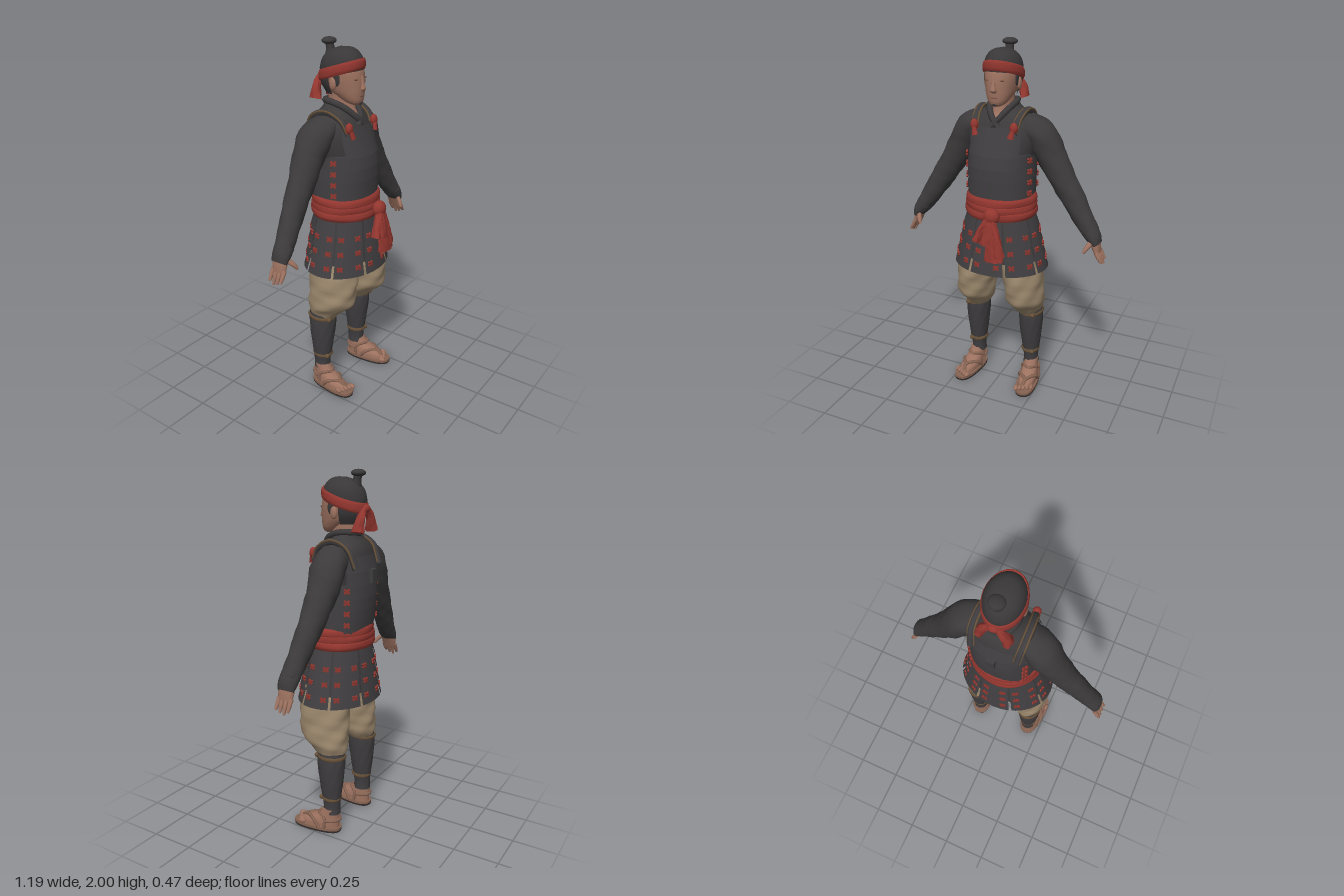
import * as THREE from 'three';
import { toCreasedNormals } from 'three/addons/utils/BufferGeometryUtils.js';

const mat = (name, color, double) => {
  const m = new THREE.MeshStandardMaterial({ color });
  m.name = name;
  if (double) m.side = THREE.DoubleSide;
  return m;
};

// Ovals swept through rows of [x, y, z, half width, half depth].
// arc = part of the oval, power = squareness, fold = cloth ripples, tilt = lift towards the front.
function sweep(rows, { steps = 4, n = 28, arc, power = 2, fold = 0, waves = 5, tilt = 0 } = {}) {
  if (rows.length === 2) rows = [rows[0], rows[0].map((v, i) => (v + rows[1][i]) / 2), rows[1]];
  const path = new THREE.CatmullRomCurve3(rows.map(r => new THREE.Vector3(r[0], r[1], r[2])), false, 'catmullrom');
  const size = new THREE.CatmullRomCurve3(rows.map(r => new THREE.Vector3(r[3], r[4], 0)), false, 'catmullrom');
  const m = (rows.length - 1) * steps, cols = arc ? n + 1 : n;
  const [t0, t1] = arc || [0, Math.PI * 2];
  const pos = [], idx = [], Z = new THREE.Vector3(0, 0, 1);
  const bend = (c) => Math.sign(c) * Math.pow(Math.abs(c), 2 / power);
  for (let i = 0; i <= m; i++) {
    const p = path.getPoint(i / m), s = size.getPoint(i / m);
    const u = path.getTangent(i / m).cross(Z).normalize();
    for (let j = 0; j < cols; j++) {
      const t = t0 + (t1 - t0) * j / n;
      const k = 1 + fold * Math.sin(waves * t + p.y * 45) + fold * 0.6 * Math.sin(2 * t - p.y * 90);
      const a = bend(Math.cos(t)) * s.x * k, b = bend(Math.sin(t)) * s.y * k;
      pos.push(p.x + u.x * a, p.y + u.y * a + tilt * b, p.z + b);
    }
  }
  for (let i = 0; i < m; i++) for (let j = 0; j < n; j++) {
    const a = i * cols + j, b = i * cols + (j + 1) % cols, c = a + cols, d = b + cols;
    idx.push(a, c, b, b, c, d);
  }
  if (!arc) for (const [ring, at] of [[0, 0], [m, 1]]) {
    const c = pos.length / 3, p = path.getPoint(at);
    pos.push(p.x, p.y, p.z);
    for (let j = 0; j < n; j++) {
      const a = ring * cols + j, b = ring * cols + (j + 1) % n;
      idx.push(...(at ? [c, b, a] : [c, a, b]));
    }
  }
  const g = new THREE.BufferGeometry();
  g.setAttribute('position', new THREE.Float32BufferAttribute(pos, 3));
  g.setIndex(idx);
  return toCreasedNormals(g, 0.8);
}

export function createModel() {
  const model = new THREE.Group();
  const armour = mat('charcoal armour', 0x3f3d3f, true), cloth = mat('dark cloth', 0x3c3a3b, true);
  const hair = mat('hair', 0x393738, true), red = mat('red cloth', 0x93362f, true);
  const skin = mat('skin', 0x9c715f), shade = mat('dark skin', 0x7a5547), tan = mat('trouser cloth', 0x9c886d);
  const cord = mat('brown cord', 0x665038), straw = mat('sandal straw', 0x866352), sole = mat('dark sole', 0x2f2b2a);

  const add = (name, geo, m, parent = model) => {
    const o = new THREE.Mesh(geo, m);
    o.name = name;
    parent.add(o);
    return o;
  };
  const ball = (name, m, p, r, parent) => {
    const o = add(name, new THREE.SphereGeometry(1, 16, 12), m, parent);
    o.position.set(...p);
    o.scale.set(...r);
    return o;
  };
  const tube = (name, pts, r, m, parent) => add(name, new THREE.TubeGeometry(
    new THREE.CatmullRomCurve3(pts.map(p => new THREE.Vector3(...p))), 20, r, 7), m, parent);

  // Crossed lacing stitch facing outwards at a yaw angle
  const stitch = new THREE.BoxGeometry(0.036, 0.011, 0.009);
  const lace = (x, y, z, yaw, parent) => {
    const g = new THREE.Group();
    g.name = 'lacing';
    g.position.set(x, y, z);
    g.rotation.y = yaw;
    for (const s of [-1, 1]) add('stitch', stitch, red, g).rotation.z = s * 0.7;
    parent.add(g);
  };

  // Head, neck and face
  add('neck', sweep([[0, 1.55, -0.03, 0.06, 0.085], [0, 1.6, -0.022, 0.055, 0.088], [0, 1.65, -0.045, 0.055, 0.078],
    [0, 1.74, -0.05, 0.055, 0.07]]), skin);
  add('head', sweep([[0, 1.675, 0.045, 0.022, 0.02], [0, 1.69, 0.03, 0.045, 0.048], [0, 1.72, 0.005, 0.064, 0.078],
    [0, 1.76, -0.03, 0.08, 0.115], [0, 1.82, -0.04, 0.091, 0.121], [0, 1.865, -0.045, 0.088, 0.112], [0, 1.9, -0.04, 0.05, 0.06]],
  { power: 2.15 }), skin);
  add('nose', sweep([[0, 1.825, 0.076, 0.008, 0.008], [0, 1.78, 0.085, 0.011, 0.012], [0, 1.76, 0.088, 0.018, 0.014],
    [0, 1.748, 0.082, 0.014, 0.01]], { n: 12 }), skin);
  add('mouth', new THREE.BoxGeometry(0.036, 0.006, 0.009), shade).position.set(0, 1.722, 0.08);
  ball('beard', hair, [0, 1.686, 0.07], [0.013, 0.01, 0.01]);
  for (const s of [-1, 1]) {
    ball('ear', skin, [s * 0.093, 1.785, -0.035], [0.012, 0.032, 0.02]);
    ball('eye', shade, [s * 0.036, 1.81, 0.07], [0.019, 0.005, 0.006]);
    ball('sideburn', hair, [s * 0.088, 1.81, -0.015], [0.007, 0.035, 0.02]);
  }

  // Hair, topknot and headband
  add('hairCap', sweep([[0, 1.83, -0.045, 0.098, 0.123], [0, 1.88, -0.046, 0.097, 0.118], [0, 1.92, -0.05, 0.082, 0.098],
    [0, 1.947, -0.052, 0.052, 0.062], [0, 1.959, -0.055, 0.006, 0.006]], { tilt: 0.18 }), hair);
  add('napeHair', sweep([[0, 1.725, -0.045, 0.068, 0.09], [0, 1.78, -0.045, 0.092, 0.119], [0, 1.85, -0.045, 0.097, 0.122]],
    { arc: [Math.PI * 1.04, Math.PI * 1.96] }), hair);
  add('topknotStem', sweep([[0, 1.91, -0.11, 0.034, 0.03], [0, 1.95, -0.118, 0.022, 0.022], [0, 1.985, -0.125, 0.024, 0.025]], { n: 14 }), hair);
  ball('topknot', hair, [0, 1.981, -0.125], [0.041, 0.019, 0.038]);
  add('headband', sweep([[0, 1.818, -0.045, 0.1, 0.124], [0, 1.83, -0.045, 0.105, 0.129], [0, 1.86, -0.045, 0.104, 0.128],
    [0, 1.873, -0.045, 0.098, 0.122]], { tilt: 0.32 }), red);
  ball('headbandKnot', red, [0, 1.805, -0.172], [0.028, 0.022, 0.02]);
  for (const s of [-1, 1]) add('headbandTail', sweep([[s * 0.015, 1.805, -0.17, 0.014, 0.014], [s * 0.05, 1.76, -0.17, 0.022, 0.022],
    [s * 0.072, 1.69, -0.163, 0.024, 0.035]], { n: 14, fold: 0.1 }), red);

  // Undershirt with crossed collar
  add('shirt', sweep([[0, 1.38, -0.035, 0.17, 0.155], [0, 1.5, -0.05, 0.2, 0.145], [0, 1.57, -0.055, 0.19, 0.13],
    [0, 1.62, -0.06, 0.145, 0.108], [0, 1.655, -0.065, 0.095, 0.08], [0, 1.685, -0.07, 0.066, 0.068]]), cloth);
  for (const s of [-1, 1]) tube('collar', [[-s * 0.02, 1.57, 0.075], [s * 0.02, 1.615, 0.058], [s * 0.058, 1.665, 0.005],
    [s * 0.068, 1.685, -0.06], [s * 0.045, 1.685, -0.12], [0, 1.68, -0.14]], 0.017, cloth);

  // Cuirass: overlapping lames, full rings below, front and back plates above
  const lames = [[1.16, 0.18, 0.16, -0.025], [1.23, 0.18, 0.167, -0.028], [1.3, 0.18, 0.174, -0.03], [1.365, 0.178, 0.177, -0.033],
    [1.43, 0.178, 0.172, -0.038], [1.5, 0.18, 0.156, -0.047], [1.57, 0.175, 0.135, -0.05]];
  lames.slice(0, -1).forEach(([y, a, b, z], i) => {
    const [y2, a2, b2, z2] = lames[i + 1];
    const rows = [[0, y - 0.008, z, a + 0.006, b + 0.006], [0, y2, z2, a2, b2]];
    const arcs = i < 4 ? [null] : [[Math.PI * 0.23, Math.PI * 0.77], [Math.PI * 1.2, Math.PI * 1.8]];
    for (const arc of arcs) add('cuirassLame', sweep(rows, { arc, steps: 2, power: 2.3 }), armour);
  });
  add('backBracket', new THREE.BoxGeometry(0.045, 0.07, 0.035), armour).position.set(0, 1.465, -0.212);
  for (const s of [-1, 1]) {
    for (const y of [1.22, 1.28, 1.34, 1.4]) {
      lace(s * 0.184, y, 0.03, s * 1.2, model);
      lace(s * 0.155, y, -0.152, s * 2.25, model);
    }
    // Dark shoulder straps edged with cord, tied in red at the chest
    const strap = (dx, lift) => [[0.11, 1.54, 0.075], [0.12, 1.605, 0.04], [0.13, 1.645, -0.05], [0.13, 1.61, -0.14],
      [0.12, 1.51, -0.185]].map(([x, y, z]) => [s * (x + dx), y + lift, z]);
    tube('shoulderStrap', strap(0, 0), 0.018, armour);
    for (const dx of [-0.015, 0.015]) tube('strapEdge', strap(dx, 0.008), 0.006, cord);
    ball('strapKnot', red, [s * 0.112, 1.575, 0.08], [0.022, 0.03, 0.02]);
    add('strapTassel', sweep([[s * 0.112, 1.57, 0.088, 0.01, 0.01], [s * 0.1, 1.525, 0.1, 0.018, 0.01]], { n: 10 }), red);
  }

  // Sash with knot and hanging ends
  for (const [y, r] of [[1.1, 0.006], [1.135, 0.003], [1.168, 0]]) add('sash', sweep([[0, y - 0.026, -0.02, 0.19 + r, 0.173 + r],
    [0, y - 0.012, -0.02, 0.197 + r, 0.18 + r], [0, y + 0.012, -0.02, 0.196 + r, 0.179 + r], [0, y + 0.026, -0.02, 0.187 + r, 0.17 + r]],
  { fold: 0.008, n: 40 }), red);
  ball('sashKnot', red, [0.03, 1.115, 0.178], [0.045, 0.045, 0.036]);
  const ends = [[0.055, 0.87, 0.055], [0.015, 0.96, 0.04], [-0.045, 0.975, 0.024], [0.085, 0.9, 0.03]];
  for (const [x, y, w] of ends) add('sashEnd', sweep([[0.03, 1.12, 0.185, 0.02, 0.02], [x * 0.6 + 0.012, (y + 1.13) / 2, 0.2, w * 0.7, 0.022],
    [x, y, 0.208, w, 0.026]], { fold: 0.1, waves: 7 }), red);

  // Skirt of hanging armour panels, four tiers each, laced in two columns
  add('skirtLining', sweep([[0, 0.83, -0.018, 0.237, 0.185], [0, 1.1, -0.02, 0.178, 0.155]], { arc: [0, Math.PI * 2], n: 40 }), cloth);
  const radius = (y, grow) => [0.186 + 0.24 * (1.1 - y) + grow, 0.166 + 0.135 * (1.1 - y) + grow];
  for (let p = 0; p < 8; p++) {
    const mid = Math.PI * (0.5 + p / 4), half = Math.PI / 8 - 0.03;
    const panel = new THREE.Group();
    panel.name = 'skirtPanel';
    model.add(panel);
    for (let k = 0; k < 4; k++) {
      const top = 1.095 - 0.08 * k, low = top - 0.085;
      add('skirtTier', sweep([[0, low, -0.018, ...radius(low, 0.008)], [0, top, -0.018, ...radius(top, -0.002)]],
        { arc: [mid - half, mid + half], n: 8, steps: 1 }), armour, panel);
      if (k) for (const s of [-0.62, 0.62]) {
        const t = mid + half * s, y = top - 0.035, [a, b] = radius(y, 0.005);
        lace(a * Math.cos(t), y, -0.018 + b * Math.sin(t), Math.atan2(Math.cos(t) / a, Math.sin(t) / b), panel);
      }
    }
  }

  for (const s of [-1, 1]) {
    // Arm with sleeve, hand guard, fingers and thumb
    const arm = new THREE.Group();
    arm.name = s > 0 ? 'leftArm' : 'rightArm';
    model.add(arm);
    add('sleeve', sweep([[s * 0.12, 1.58, -0.06, 0.06, 0.08], [s * 0.2, 1.525, -0.07, 0.08, 0.095], [s * 0.26, 1.42, -0.075, 0.08, 0.083],
      [s * 0.33, 1.3, -0.068, 0.071, 0.069], [s * 0.39, 1.21, -0.062, 0.066, 0.061], [s * 0.45, 1.115, -0.052, 0.057, 0.055],
      [s * 0.515, 1.02, -0.042, 0.046, 0.052]], { fold: 0.028 }), cloth, arm);
    add('handGuard', sweep([[s * 0.5, 1.04, -0.042, 0.046, 0.054], [s * 0.53, 1.0, -0.04, 0.04, 0.053], [s * 0.55, 0.965, -0.04, 0.025, 0.047]]), cloth, arm);
    add('palm', sweep([[s * 0.53, 0.995, -0.04, 0.03, 0.043], [s * 0.545, 0.955, -0.04, 0.024, 0.045], [s * 0.557, 0.915, -0.04, 0.016, 0.041]]), skin, arm);
    [0.872, 0.86, 0.852, 0.868].forEach((tip, i) => {
      const z = -0.004 - i * 0.024;
      add('finger', sweep([[s * 0.553, 0.93, z, 0.012, 0.012], [s * 0.573, 0.895, z, 0.011, 0.011], [s * 0.588, tip, z, 0.006, 0.007]], { n: 10 }), skin, arm);
    });
    add('thumb', sweep([[s * 0.53, 0.985, -0.01, 0.016, 0.016], [s * 0.51, 0.955, 0.02, 0.013, 0.014], [s * 0.498, 0.93, 0.034, 0.007, 0.008]], { n: 10 }), skin, arm);

    // Baggy trouser leg, shin guard and ties
    const leg = new THREE.Group();
    leg.name = s > 0 ? 'leftLeg' : 'rightLeg';
    model.add(leg);
    add('trouserLeg', sweep([[s * 0.168, 0.465, -0.06, 0.06, 0.076], [s * 0.16, 0.515, -0.045, 0.09, 0.105], [s * 0.155, 0.57, -0.015, 0.104, 0.138],
      [s * 0.148, 0.64, -0.008, 0.105, 0.145], [s * 0.14, 0.72, -0.005, 0.109, 0.148], [s * 0.115, 0.84, -0.014, 0.108, 0.145], [s * 0.09, 1.0, -0.02, 0.09, 0.13]],
    { fold: 0.025, n: 36 }), tan, leg);
    add('shinGuard', sweep([[s * 0.174, 0.11, -0.07, 0.044, 0.05], [s * 0.173, 0.17, -0.07, 0.043, 0.05], [s * 0.172, 0.3, -0.067, 0.06, 0.068],
      [s * 0.17, 0.42, -0.065, 0.069, 0.081], [s * 0.167, 0.49, -0.063, 0.066, 0.08]], { fold: 0.012, waves: 9, n: 36 }), armour, leg);
    for (const [y, a, b] of [[0.465, 0.068, 0.082], [0.205, 0.05, 0.056]]) {
      add('tie', sweep([[s * 0.171, y - 0.01, -0.067, a, b], [s * 0.171, y, -0.067, a + 0.004, b + 0.004], [s * 0.171, y + 0.01, -0.067, a, b]]), cord, leg);
      ball('tieKnot', cord, [s * (0.171 + a * 0.5), y, -0.067 + b * 0.9], [0.016, 0.014, 0.013], leg);
    }

    // Foot in a straw sandal, toes turned slightly out
    const foot = new THREE.Group();
    foot.name = s > 0 ? 'leftFoot' : 'rightFoot';
    foot.position.set(s * 0.178, 0, -0.065);
    foot.rotation.y = s * 0.12;
    model.add(foot);
    add('sole', sweep([[0, 0, 0.082, 0.058, 0.143], [0, 0.012, 0.082, 0.058, 0.143]], { power: 2.6, steps: 1 }), sole, foot);
    add('sandal', sweep([[0, 0.012, 0.082, 0.06, 0.145], [0, 0.026, 0.082, 0.06, 0.145]], { power: 2.6, steps: 1 }), straw, foot);
    add('foot', sweep([[0, 0.022, 0.07, 0.05, 0.122], [0, 0.05, 0.062, 0.05, 0.114], [0, 0.075, 0.035, 0.046, 0.088],
      [0, 0.1, 0.01, 0.042, 0.06], [0, 0.14, -0.003, 0.04, 0.045]], { power: 2.2 }), skin, foot);
    for (let i = 0; i < 5; i++) ball('toe', skin, [s * (i * 0.021 - 0.041), 0.036, 0.196 - i * 0.008], [i ? 0.011 : 0.014, 0.014, 0.022], foot);
    for (const k of [-1, 1]) {
      tube('sandalStrap', [[k * 0.056, 0.025, 0.05], [k * 0.048, 0.065, 0.085], [0, 0.066, 0.15], [-s * 0.015, 0.03, 0.19]], 0.01, straw, foot);
      tube('ankleStrap', [[k * 0.054, 0.025, 0.02], [k * 0.048, 0.085, 0.02], [k * 0.025, 0.105, 0.058], [0, 0.1, 0.07]], 0.009, straw, foot);
    }
    tube('heelStrap', [[-0.05, 0.07, 0.02], [-0.036, 0.075, -0.035], [0, 0.075, -0.056], [0.036, 0.075, -0.035], [0.05, 0.07, 0.02]], 0.009, straw, foot);
  }
  return model;
}
